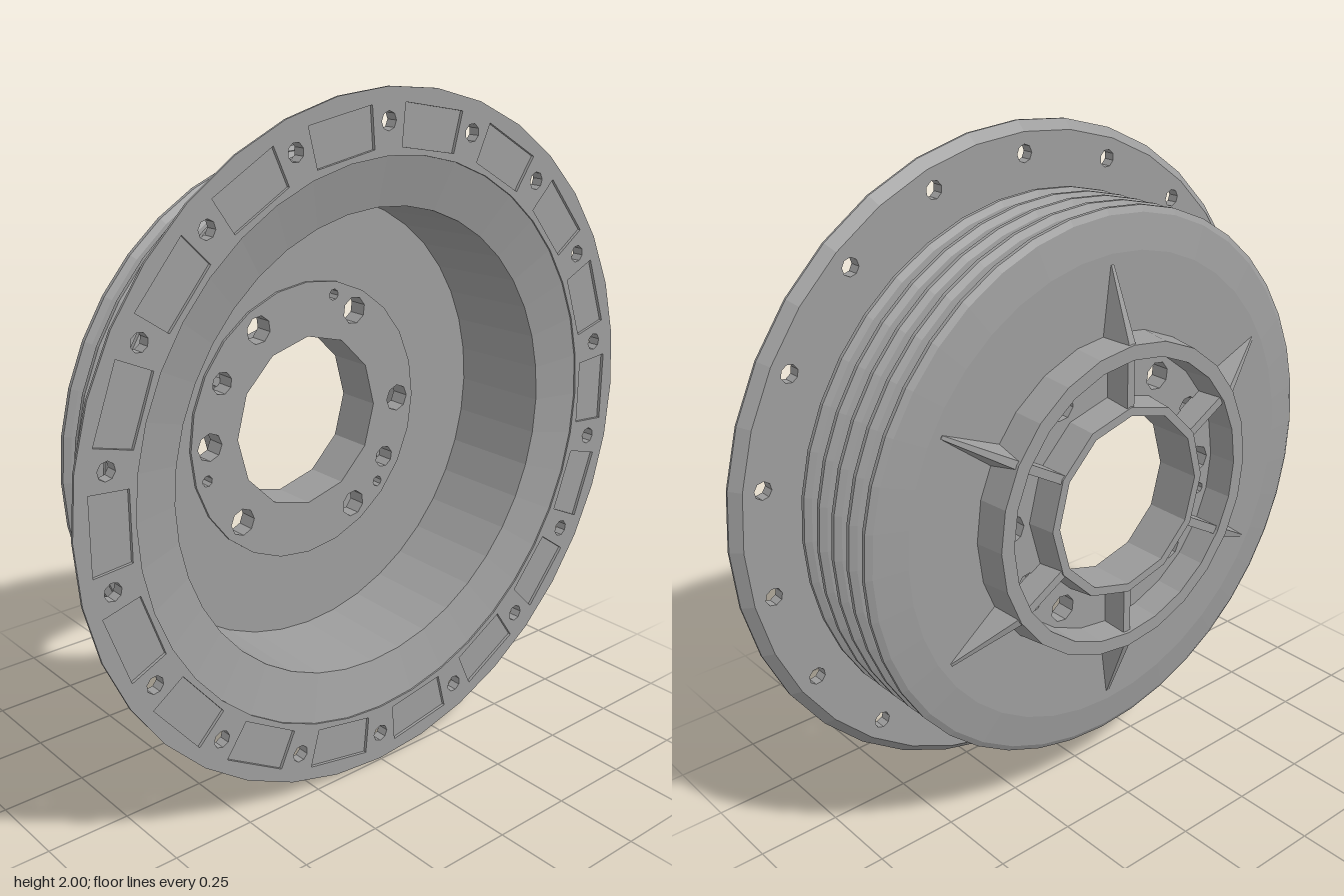
import * as THREE from 'three';
import { ConvexGeometry } from 'three/addons/geometries/ConvexGeometry.js';

const CENTER_Y = 0.99;
const rad = THREE.MathUtils.degToRad;

// Points of a regular polygon around (x, y)
function ring(r, sides, x = 0, y = 0, start = 0) {
  return Array.from({ length: sides }, (_, i) => {
    const a = start + (i / sides) * Math.PI * 2;
    return new THREE.Vector2(x + r * Math.cos(a), y + r * Math.sin(a));
  });
}

// Small hole at polar position (radius, degrees)
function holeAt(radius, deg, size) {
  const a = rad(deg);
  return ring(size, 8, radius * Math.cos(a), radius * Math.sin(a), a);
}

// Flat plate from z0 to z1 with holes
function plate(outline, holes, z0, z1) {
  const shape = new THREE.Shape(outline);
  shape.holes = holes.map((h) => new THREE.Path(h));
  const geo = new THREE.ExtrudeGeometry(shape, { depth: z1 - z0, bevelEnabled: false });
  return geo.translate(0, 0, z0);
}

// Closed profile of [radius, z] pairs turned about the z axis
function turned(profile, sides) {
  const pts = [...profile, profile[0]].map(([r, z]) => new THREE.Vector2(r, z));
  return new THREE.LatheGeometry(pts, sides).rotateX(Math.PI / 2);
}

export function createModel() {
  const group = new THREE.Group();
  const castIron = new THREE.MeshStandardMaterial({ color: 0x9c9c9c, flatShading: true });
  castIron.name = 'castIron';

  const wheel = new THREE.Group();
  wheel.name = 'brakeDrum';
  wheel.position.y = CENTER_Y;
  group.add(wheel);

  function add(name, geometry, parent = wheel) {
    const mesh = new THREE.Mesh(geometry, castIron);
    mesh.name = name;
    parent.add(mesh);
    return mesh;
  }

  // Drum shell: back web, five cooling fins, sloping front shelf, inner wall
  const shell = [[0.42, -0.15], [0.7, -0.15]];
  for (const z of [-0.12, -0.05, 0.02, 0.09, 0.165]) {
    if (z > -0.12) shell.push([0.72, z - 0.03]);
    shell.push([0.8, z - 0.016], [0.818, z - 0.006], [0.818, z + 0.006], [0.8, z + 0.016]);
    shell.push([0.72, z + 0.03]);
  }
  shell.push([0.72, 0.21], [0.83, 0.21], [0.83, 0.24], [0.82, 0.24], [0.68, 0.205], [0.67, -0.1], [0.42, -0.1]);
  add('finnedDrum', turned(shell, 40));

  // Front flange: bolt holes all through, shallow pockets in the front layer
  const boltHoles = [];
  const pockets = [];
  for (let i = 0; i < 18; i++) {
    boltHoles.push(holeAt(0.91, 90 + i * 20, 0.026));
    const a = rad(80 + i * 20);
    const corners = [[0.835, -0.098], [0.95, -0.108], [0.95, 0.108], [0.835, 0.098]];
    pockets.push(corners.map(([r, t]) => new THREE.Vector2(
      r * Math.cos(a) - t * Math.sin(a),
      r * Math.sin(a) + t * Math.cos(a),
    )));
  }
  const flangeEdge = ring(0.968, 36);
  const flangeBore = ring(0.82, 40);
  add('flangeBack', plate(flangeEdge, [flangeBore, ...boltHoles], 0.21, 0.236));
  add('flangeFront', plate(flangeEdge, [flangeBore, ...boltHoles, ...pockets], 0.236, 0.245));
  add('flangeRim', turned([[0.962, 0.21], [0.97, 0.21], [0.998, 0.238], [0.998, 0.245], [0.962, 0.245]], 36));

  // Hub plate with wheel bolt holes and smaller locating holes
  const hubHoles = [ring(0.262, 12)];
  for (const deg of [0, 60, 120, 180, 226, 300]) hubHoles.push(holeAt(0.36, deg, 0.042));
  for (const deg of [150, 329]) hubHoles.push(holeAt(0.36, deg, 0.034));
  for (const deg of [75, 195, 317]) hubHoles.push(holeAt(0.385, deg, 0.017));
  add('hubPlate', plate(ring(0.425, 24), hubHoles, -0.15, -0.092));

  // Raised walls on the back of the hub
  add('hubOuterWall', turned([[0.425, -0.24], [0.468, -0.24], [0.48, -0.14], [0.42, -0.14]], 24));
  add('hubInnerWall', turned([[0.262, -0.235], [0.288, -0.235], [0.3, -0.14], [0.262, -0.14]], 12));

  // Six tapering ribs outside the hub, with a spoke inside each
  for (let i = 0; i < 6; i++) {
    const arm = new THREE.Group();
    arm.name = 'ribArm';
    arm.rotation.z = rad(30 + i * 60);
    wheel.add(arm);
    const corners = [];
    for (const s of [-1, 1]) {
      corners.push(
        new THREE.Vector3(0.455, s * 0.034, -0.145),
        new THREE.Vector3(0.455, s * 0.012, -0.238),
        new THREE.Vector3(0.67, s * 0.005, -0.145),
        new THREE.Vector3(0.67, s * 0.005, -0.152),
      );
    }
    add('outerRib', new ConvexGeometry(corners), arm);
    add('innerSpoke', new THREE.BoxGeometry(0.15, 0.026, 0.085).translate(0.358, 0, -0.188), arm);
  }

  return group;
}
